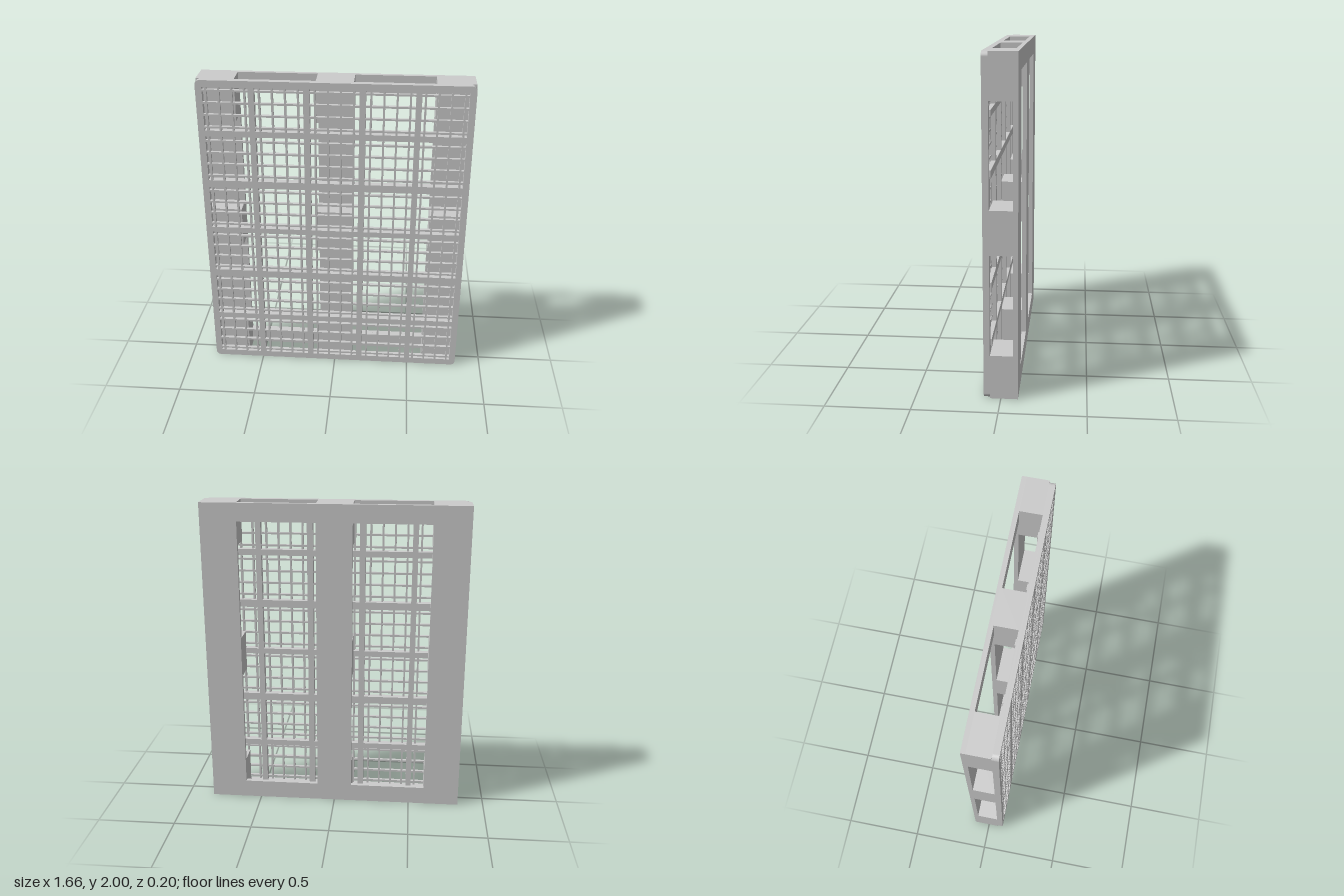
import * as THREE from 'three';

const W = 0.83, H = 2, D = 0.1;          // half width, height, half depth
const COLS = [[-0.79, -0.515], [-0.48, -0.186], [-0.148, 0.148], [0.186, 0.48], [0.515, 0.79]];
const ROWS = [[0.042, 0.317], [0.355, 0.65], [0.698, 0.982], [1.018, 1.302], [1.35, 1.645], [1.683, 1.958]];
const CELL = 0.0655, RIB = 0.012;        // grid cell and thin rib widths

const material = new THREE.MeshStandardMaterial({ color: 0xcccccc, flatShading: true });

// Counter-clockwise outline with rounded corners
function outline(r) {
  const s = new THREE.Shape();
  s.absarc(W - r, r, r, -Math.PI / 2, 0);
  s.absarc(W - r, H - r, r, 0, Math.PI / 2);
  s.absarc(-W + r, H - r, r, Math.PI / 2, Math.PI);
  s.absarc(-W + r, r, r, Math.PI, Math.PI * 1.5);
  s.closePath();
  return s;
}

// Counter-clockwise square-cornered outline
function squareOutline() {
  return new THREE.Shape().moveTo(-W, 0).lineTo(W, 0).lineTo(W, H).lineTo(-W, H).closePath();
}

// Clockwise rectangular hole
function hole([x0, x1], [y0, y1]) {
  return new THREE.Path().moveTo(x0, y0).lineTo(x0, y1).lineTo(x1, y1).lineTo(x1, y0).closePath();
}

// Plate between two depths with a rectangular hole for each column and row
function plate(name, shape, cols, rows, z0, z1) {
  for (const col of cols)
    for (const row of rows) shape.holes.push(hole(col, row));
  const geometry = new THREE.ExtrudeGeometry(shape, { depth: z1 - z0, bevelEnabled: false, curveSegments: 6 });
  geometry.translate(0, 0, z0);
  const mesh = new THREE.Mesh(geometry, material);
  mesh.name = name;
  return mesh;
}

function box(name, x0, x1, y0, y1, z0, z1) {
  const mesh = new THREE.Mesh(new THREE.BoxGeometry(x1 - x0, y1 - y0, z1 - z0), material);
  mesh.position.set((x0 + x1) / 2, (y0 + y1) / 2, (z0 + z1) / 2);
  mesh.name = name;
  return mesh;
}

// Split a bay into a narrow slot, three cells and a narrow slot
function split([a, b]) {
  const slot = (b - a - 3 * CELL - 4 * RIB) / 2;
  let p = a;
  return [slot, CELL, CELL, CELL, slot].map((w) => {
    const span = [p, p + w];
    p += w + RIB;
    return span;
  });
}

export function createModel() {
  const model = new THREE.Group();
  model.name = 'pallet';

  // Load deck: fine lattice at the face, heavy frame behind it
  const deck = new THREE.Group();
  deck.name = 'loadDeck';
  deck.add(plate('lattice', outline(0.03), COLS.flatMap(split), ROWS.flatMap(split), 0.08, D));
  deck.add(plate('deckFrame', outline(0.03), COLS, ROWS, 0.063, 0.08));

  // Slightly deeper ribs under the heavy deck bars
  for (let i = 0; i < COLS.length - 1; i++)
    deck.add(box('verticalRib', COLS[i][1], COLS[i + 1][0], 0.042, H - 0.042, 0.055, 0.063));
  for (let i = 0; i < ROWS.length - 1; i++)
    deck.add(box('crossRib', -0.79, 0.79, ROWS[i][1], ROWS[i + 1][0], 0.055, 0.063));
  model.add(deck);

  // Nine spacer blocks
  const blocks = new THREE.Group();
  blocks.name = 'spacerBlocks';
  for (const [x0, x1] of [[-W, -0.6], [-0.113, 0.113], [0.6, W]])
    for (const [y0, y1] of [[0, 0.268], [0.872, 1.132], [1.736, H]])
      blocks.add(box('spacerBlock', x0, x1, y0, y1, -0.072, 0.063));
  model.add(blocks);

  // Base frame with two long openings
  model.add(plate('baseFrame', squareOutline(), [[-0.6, -0.113], [0.113, 0.6]], [[0.115, 1.885]], -D, -0.072));
  return model;
}
